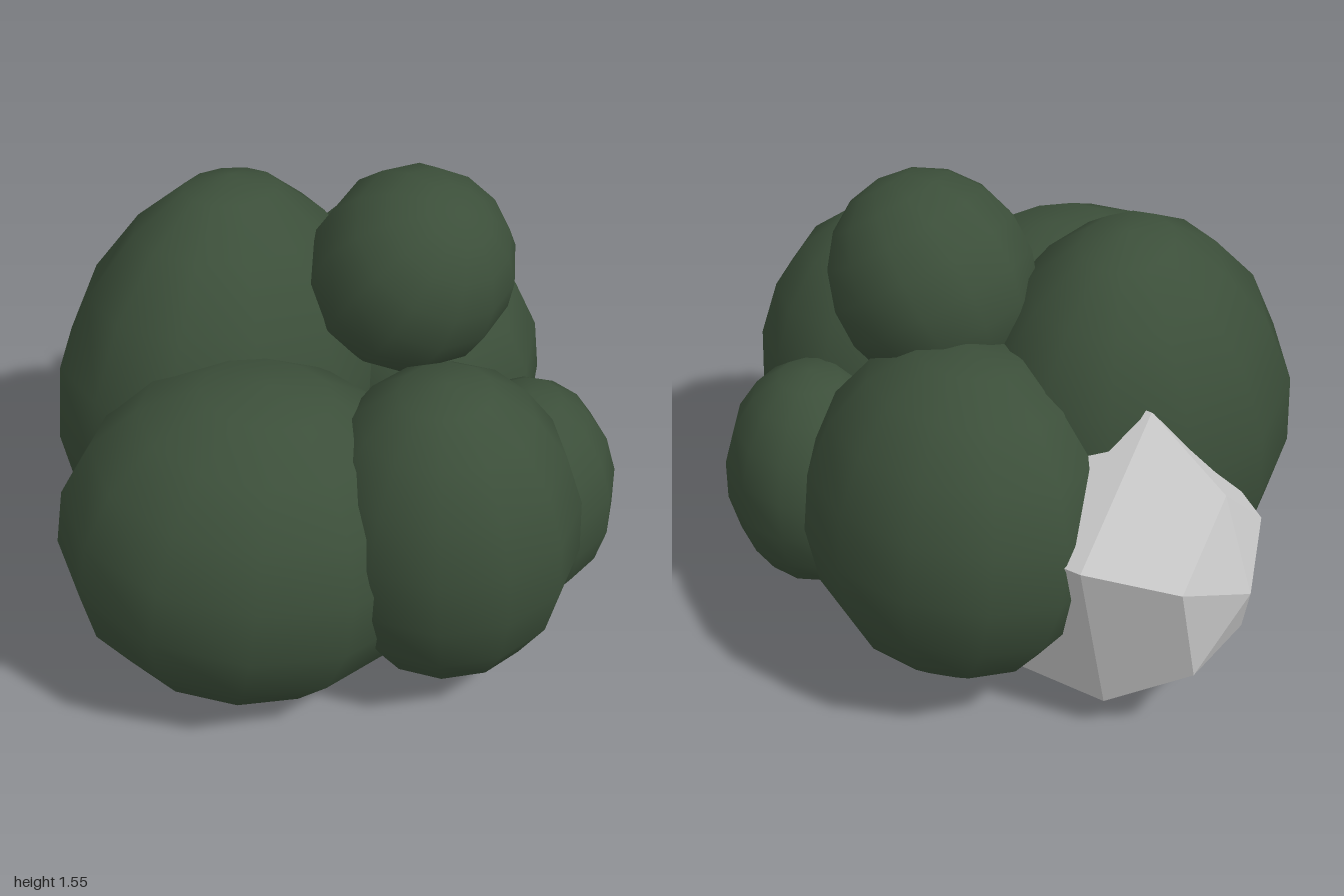
import * as THREE from 'three';

const green = new THREE.MeshStandardMaterial({ color: 0x3c4f3a });
const grey = new THREE.MeshStandardMaterial({ color: 0xcccccc, flatShading: true });

// Smooth, coarse ellipsoid lobe turned by Euler angles; taper narrows its top
function lobe(name, [x, y, z], [rx, ry, rz], [ax, ay, az] = [0, 0, 0], taper = 0) {
  const geo = new THREE.SphereGeometry(1, 12, 9);
  const p = geo.attributes.position;
  for (let i = 0; i < p.count; i++) {
    const s = 1 - taper * Math.max(0, p.getY(i)) ** 2;
    p.setXYZ(i, p.getX(i) * s * rx, p.getY(i) * ry, p.getZ(i) * s * rz);
    // ellipsoid normals
    const n = geo.attributes.normal;
    const v = new THREE.Vector3(n.getX(i) / rx, n.getY(i) / ry, n.getZ(i) / rz).normalize();
    n.setXYZ(i, v.x, v.y, v.z);
  }
  const mesh = new THREE.Mesh(geo, green);
  mesh.name = name;
  mesh.position.set(x, y, z);
  mesh.rotation.set(ax, ay, az);
  return mesh;
}

export function createModel() {
  const group = new THREE.Group();
  group.name = 'bush';

  // Large and small foliage lobes around the middle, one on top
  group.add(
    lobe('tallLobe', [-0.33, 0.735, 0.06], [0.50, 0.72, 0.60], [-0.12, 0, 0.06], 0.22),
    lobe('frontLobe', [0.125, 0.565, 0.43], [0.60, 0.56, 0.53], [0, Math.PI / 4, -0.12]),
    lobe('sideLobe', [0.605, 0.635, 0.05], [0.415, 0.545, 0.42], [0.05, -0.4, 0]),
    lobe('backLobe', [-0.10, 0.64, -0.54], [0.52, 0.54, 0.45], [0.15, -0.3, 0]),
    lobe('smallLobe', [0.55, 0.46, -0.425], [0.325, 0.385, 0.29], [0, -Math.PI / 4, 0]),
    lobe('topLobe', [0.175, 1.225, -0.265], [0.32, 0.345, 0.325], [0, 0, -0.6]),
  );

  // Faceted rock tucked into the side, its pole along x, one ring corner straight up
  const geo = new THREE.SphereGeometry(1, 5, 5);
  geo.rotateZ(Math.PI / 2);
  const p = geo.attributes.position;
  const ring = 6; // first vertex of the second row
  geo.rotateX(-Math.atan2(p.getZ(ring), p.getY(ring)));
  geo.scale(0.52, 0.54, 0.42);
  const rock = new THREE.Mesh(geo, grey);
  rock.name = 'rock';
  rock.position.set(-0.48, 0.54, -0.31);
  group.add(rock);

  return group;
}
